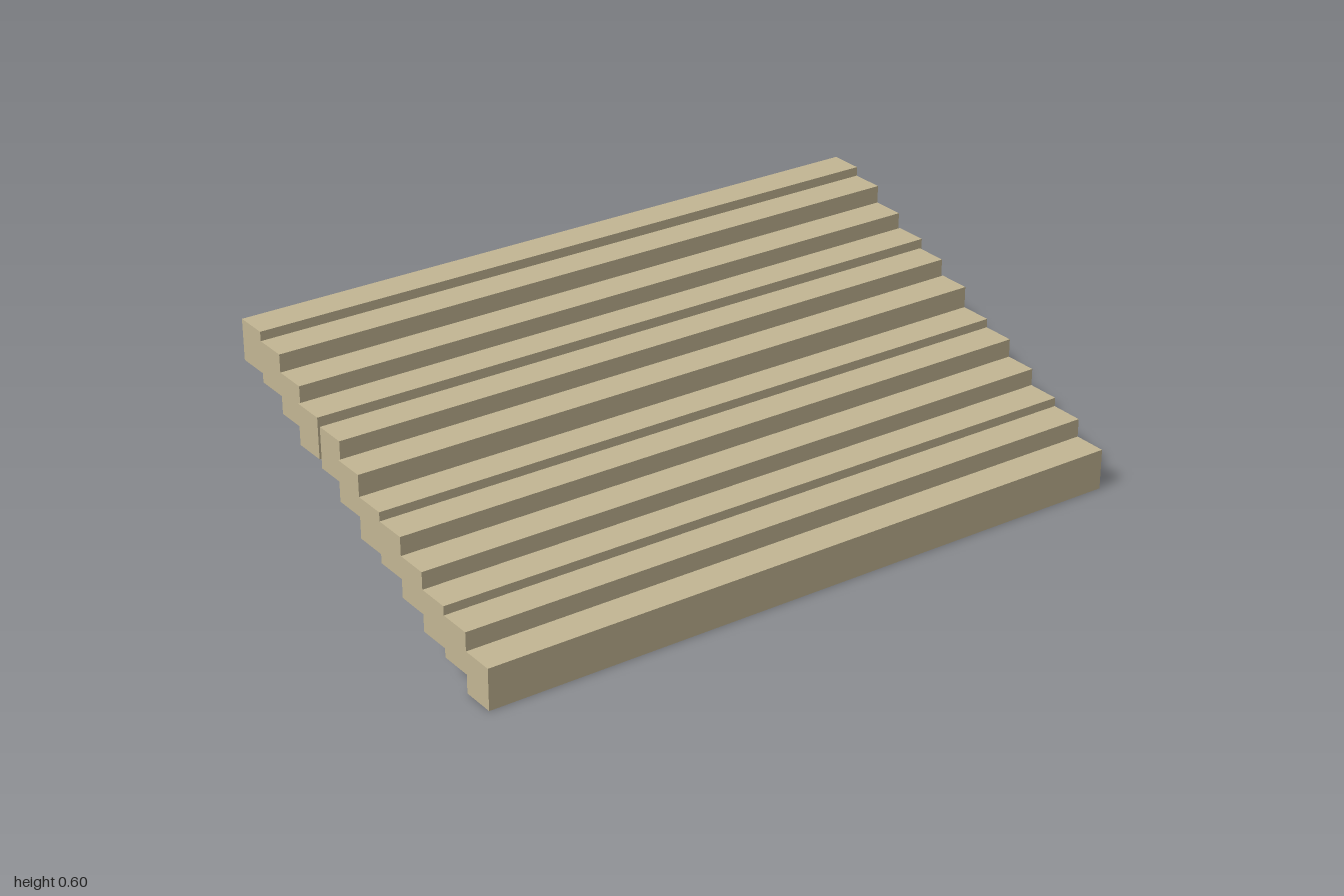
import * as THREE from 'three';

export function createModel() {
  const group = new THREE.Group();
  group.name = 'staircase';
  const sandstone = new THREE.MeshStandardMaterial({ color: 0xc4b794 });
  sandstone.name = 'sandstone';

  const width = 0.1, thickness = 0.12;
  // Top height of each tread, from the high end to the low end
  const tops = [0.6, 0.573, 0.521, 0.473, 0.445, 0.393, 0.33, 0.304, 0.25, 0.2, 0.174, 0.12];
  // Treads cut slightly shorter than the rest
  const shortTreads = [0, 1, 2, 4];

  tops.forEach((top, i) => {
    const length = shortTreads.includes(i) ? 1.988 : 2;
    const tread = new THREE.Mesh(new THREE.BoxGeometry(width, thickness, length), sandstone);
    tread.name = `tread${i + 1}`;
    tread.position.set(-0.55 + i * width, top - thickness / 2, 0);
    group.add(tread);
  });
  return group;
}
